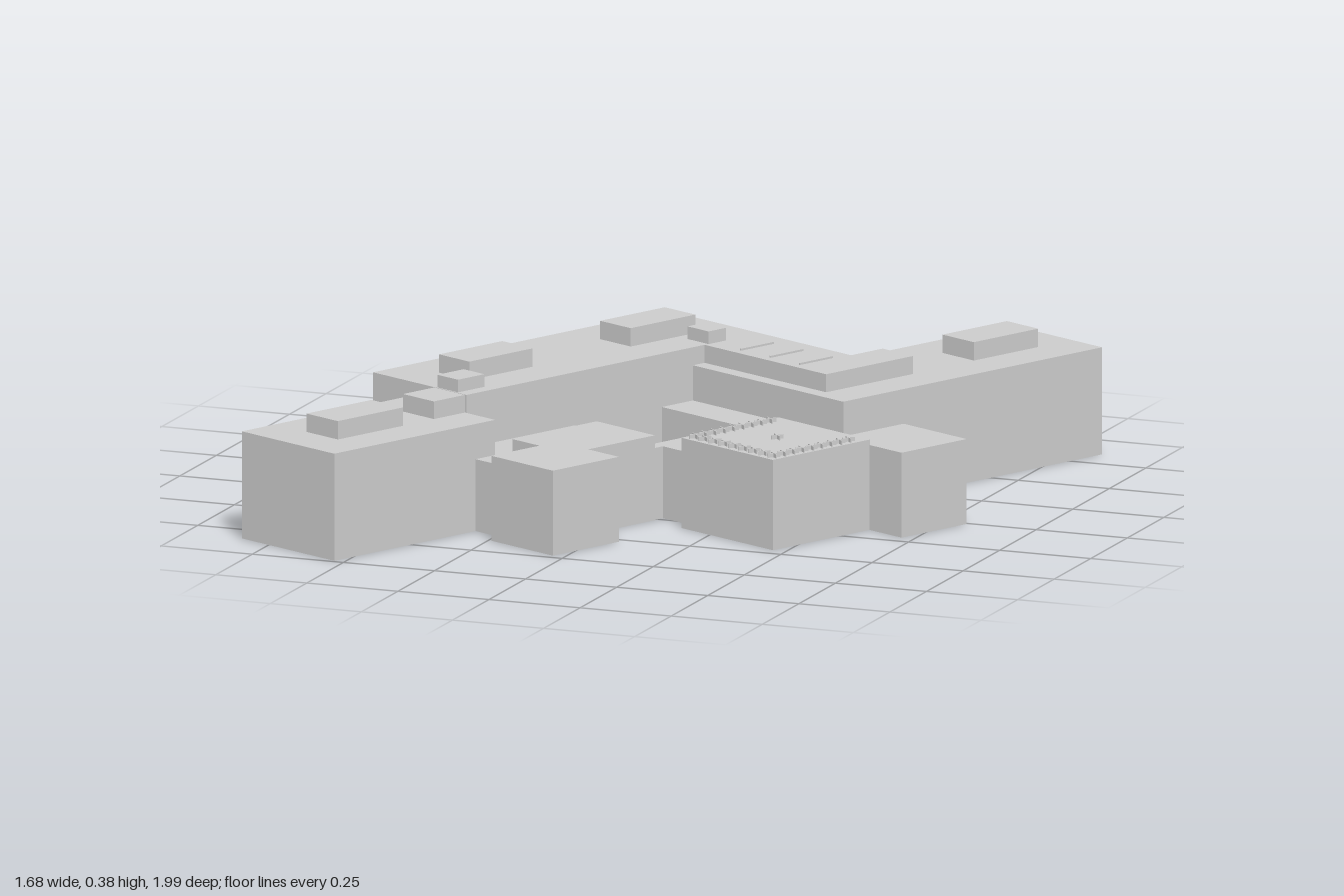
import * as THREE from 'three';

const grey = new THREE.MeshStandardMaterial({ color: 0xcccccc, flatShading: true });

export function createModel() {
  const model = new THREE.Group();
  model.name = 'buildingComplex';
  // The plan is drawn square (s across, t along), then turned as a whole
  model.rotation.y = -0.439;

  // Storey block: plan outline [s, t] raised from y0 to y1
  function block(name, outline, y0, y1) {
    const shape = new THREE.Shape(outline.map(([s, t]) => new THREE.Vector2(s, t)));
    const geo = new THREE.ExtrudeGeometry(shape, { depth: y1 - y0, bevelEnabled: false });
    geo.rotateX(-Math.PI / 2).translate(0, y0, 0);
    const mesh = new THREE.Mesh(geo, grey);
    mesh.name = name;
    model.add(mesh);
  }

  // Rectangular block from plan limits
  function box(name, s0, s1, t0, t1, y0, y1) {
    const mesh = new THREE.Mesh(new THREE.BoxGeometry(s1 - s0, y1 - y0, t1 - t0), grey);
    mesh.position.set((s0 + s1) / 2, (y0 + y1) / 2, -(t0 + t1) / 2);
    mesh.name = name;
    model.add(mesh);
  }

  const WING = 0.28, TALL = 0.327, HALL = 0.222, LOW = 0.188, AUD = 0.236;

  // Tall angled main block, with its arm ending over the rear wing
  block('mainBlock', [
    [-0.513, -0.562], [-0.164, -0.562], [-0.164, 0.267], [0.29, 0.267],
    [0.29, 0.57], [0.176, 0.57], [0.176, 0.46], [-0.513, 0.46],
  ], 0, TALL);

  // Long wings and the ledge along the courtyard
  box('frontWing', -0.402, -0.057, -1.122, -0.562, 0, WING);
  block('rearWing', [
    [-0.164, 0.226], [0.398, 0.226], [0.398, 1.127], [0.055, 1.127],
    [0.055, 0.268], [-0.164, 0.268],
  ], 0, WING);

  // Low corridors wrapping the open courtyard
  block('courtyardCorridor', [
    [-0.164, 0.226], [-0.164, 0.118], [0.125, 0.118], [0.125, -0.185],
    [-0.164, -0.185], [-0.164, -0.562], [-0.057, -0.562], [-0.057, -0.63],
    [0.05, -0.63], [0.05, -0.507], [-0.05, -0.507], [-0.05, -0.213],
    [0.162, -0.213], [0.162, -0.182], [0.275, -0.182], [0.275, 0.115],
    [0.5, 0.115], [0.5, 0.226],
  ], 0, LOW);

  // Stepped front hall, side hall and square auditorium
  block('frontHall', [
    [-0.052, -0.213], [-0.052, -0.507], [0.05, -0.507], [0.05, -0.675],
    [0.28, -0.675], [0.28, -0.445], [0.165, -0.445], [0.165, -0.213],
  ], 0, HALL);
  box('sideHall', 0.501, 0.737, 0.113, 0.34, 0, HALL);
  box('auditorium', 0.275, 0.617, -0.223, 0.115, 0, AUD);

  // Rooftop plant rooms: s0, s1, t0, t1, base, top
  [
    [-0.285, -0.168, -1.006, -0.78, WING, 0.328],
    [0.168, 0.285, 0.786, 1.01, WING, 0.328],
    [-0.285, -0.17, -0.67, -0.56, WING, 0.326],
    [-0.395, -0.282, -0.442, -0.222, TALL, 0.375],
    [-0.392, -0.278, 0.116, 0.341, TALL, 0.375],
    [-0.277, -0.2, -0.558, -0.466, TALL, 0.36],
    [-0.242, -0.163, 0.28, 0.34, TALL, 0.36],
  ].forEach((p) => box('roofPlantRoom', ...p));

  // Thin roof ribs on the arm of the main block
  for (const s of [-0.054, 0.056, 0.166]) box('roofRib', s - 0.002, s + 0.002, 0.29, 0.405, TALL, 0.332);

  // Door panel at the rear corner
  box('sideDoor', -0.515, -0.513, 0.365, 0.435, 0, 0.105);

  // Small crossed fins round three edges of the auditorium roof, one in the middle
  const finGeo = new THREE.BoxGeometry(0.034, 0.012, 0.003);
  function crossFin(s, t) {
    const fin = new THREE.Group();
    fin.name = 'roofCrossFin';
    for (const turn of [0.5, -1.07]) {
      const blade = new THREE.Mesh(finGeo, grey);
      blade.rotation.y = turn + 0.72;
      fin.add(blade);
    }
    fin.position.set(s, AUD + 0.005, -t);
    model.add(fin);
  }
  for (let i = 0; i < 9; i++) crossFin(0.302 + i * 0.0368, -0.2);
  for (let i = 1; i < 9; i++) {
    crossFin(0.302, -0.2 + i * 0.0325);
    crossFin(0.596, -0.2 + i * 0.0325);
  }
  crossFin(0.451, -0.053);

  const root = new THREE.Group();
  root.name = 'model';
  root.add(model);
  return root;
}
